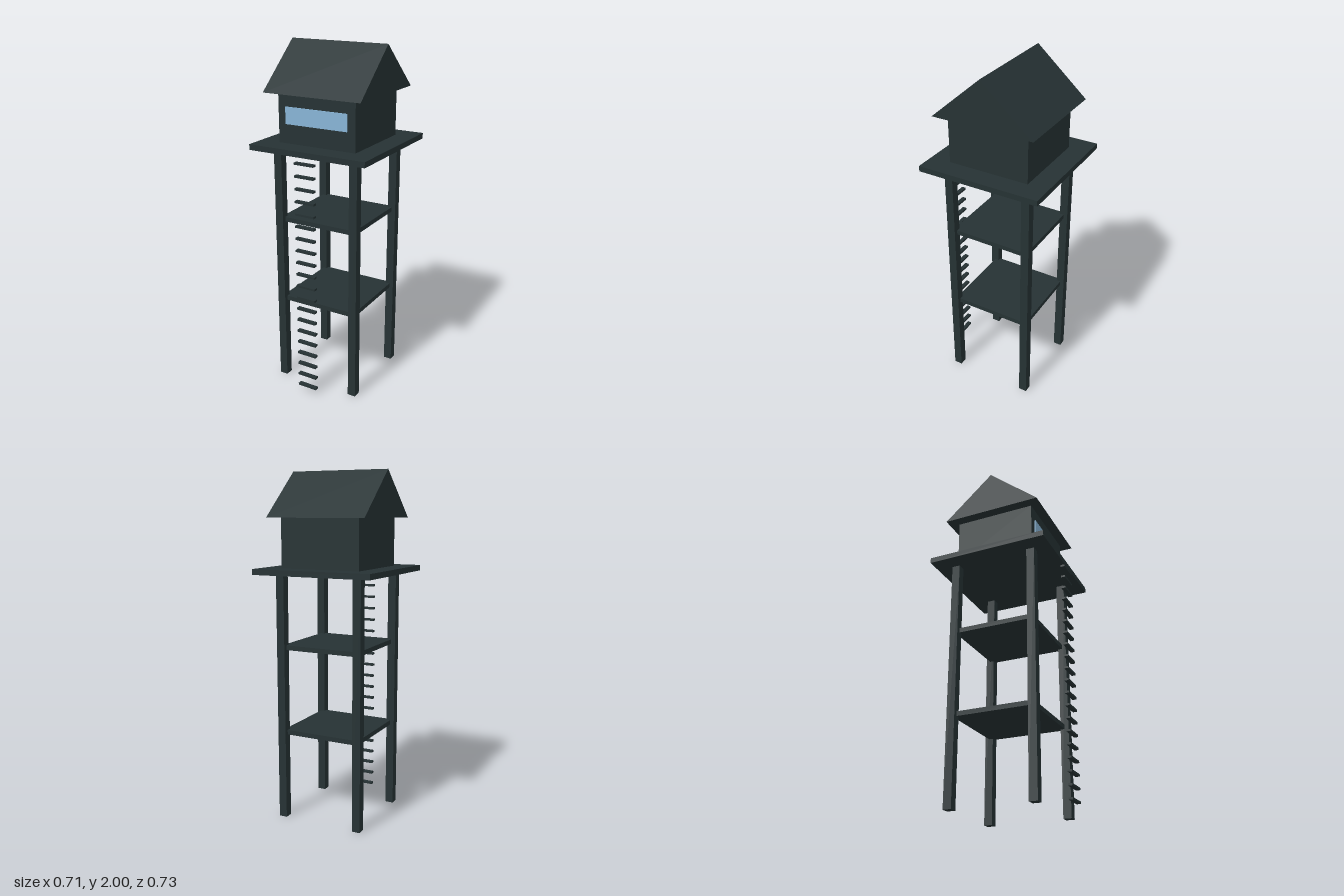
import * as THREE from 'three';

export function createModel() {
  const tower = new THREE.Group();
  tower.name = 'watchtower';

  const timber = new THREE.MeshStandardMaterial({ color: 0x263234 });
  timber.name = 'dark timber';
  const glass = new THREE.MeshStandardMaterial({ color: 0x88b5d6 });
  glass.name = 'pale blue glass';

  // The tower sits slightly back so that the ladder fits the footprint
  const body = new THREE.Group();
  body.name = 'towerBody';
  body.position.z = -0.0065;
  tower.add(body);

  function box(name, w, h, d, x, y, z, material = timber) {
    const mesh = new THREE.Mesh(new THREE.BoxGeometry(w, h, d), material);
    mesh.name = name;
    mesh.position.set(x, y, z);
    body.add(mesh);
    return mesh;
  }

  // Four square legs
  const half = 0.238;
  for (const x of [-half, half]) {
    for (const z of [-half, half]) box('leg', 0.048, 1.433, 0.048, x, 0.7165, z);
  }

  // Two thin intermediate floors between the leg centres
  for (const y of [0.515, 1.0145]) box('lowerFloor', half * 2, 0.027, half * 2, 0, y, 0);

  // Main platform and cabin
  box('platform', 0.714, 0.032, 0.714, 0, 1.447, 0);
  box('cabin', half * 2, 0.28, half * 2, 0, 1.602, 0);
  box('window', 0.381, 0.095, 0.008, 0, 1.619, half + 0.003, glass);

  // Gable roof with the ridge along x
  const gable = new THREE.Shape();
  gable.moveTo(-0.297, 0);
  gable.lineTo(0.297, 0);
  gable.lineTo(0, 0.259);
  gable.closePath();
  const roofGeometry = new THREE.ExtrudeGeometry(gable, { depth: 0.594, bevelEnabled: false });
  roofGeometry.translate(0, 0, -0.297);
  roofGeometry.rotateY(Math.PI / 2);
  const roof = new THREE.Mesh(roofGeometry, timber);
  roof.name = 'roof';
  roof.position.y = 1.741;
  body.add(roof);

  // Ladder rungs below the front edge of the platform
  for (let i = 0; i < 20; i++) {
    box('ladderRung', 0.119, 0.012, 0.024, 0, 0.0425 + i * 0.0714, 0.3575);
  }

  return tower;
}
